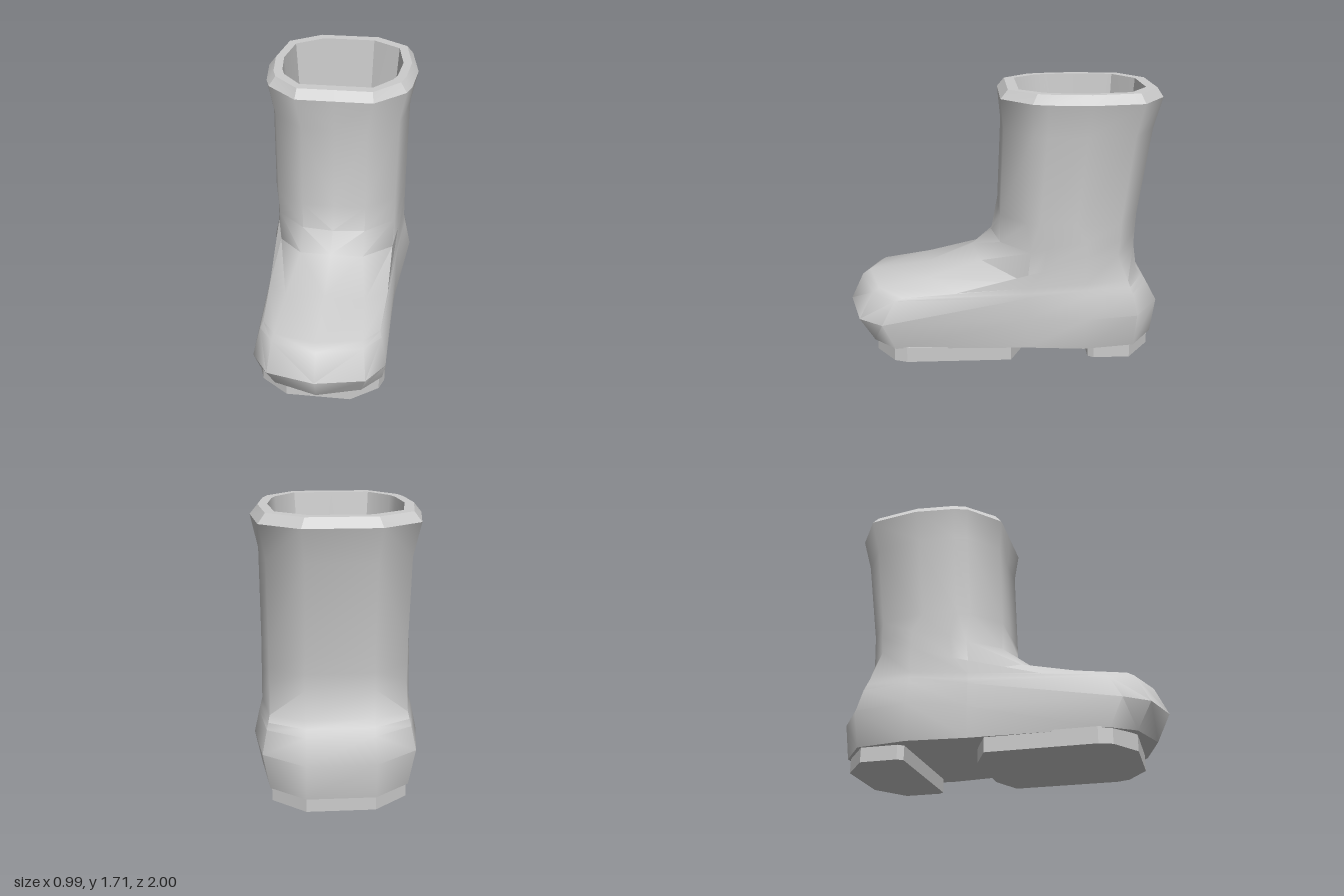
import * as THREE from 'three';
import { toCreasedNormals } from 'three/addons/utils/BufferGeometryUtils.js';

const material = new THREE.MeshStandardMaterial({ color: 0xcccccc });

// Level half ring of the shaft, front centre to back; each point is a share of half width
// and a share of depth from the back, frontShare being the half width of the flat front
function shaftRing(y, front, back, width, frontShare) {
  const section = [[0, 1], [frontShare, 1], [0.88, 0.82], [0.94, 0.73], [1, 0.475], [0.9, 0.155], [0.44, 0]];
  return section.map(([u, t]) => [u * width, y, back + t * (front - back)]);
}

// Half ring of the foot: toe, toe corner and foot side are placed, the waist and heel follow from the ankle size
function footRing([y, width, back, heelCorner], [toeY, toeZ], corner, side) {
  const waist = [0.37 + 0.1 * width, (side[1] + y) / 2, Math.min(-0.14, side[2] - 0.1)];
  return [
    [0, toeY, toeZ], corner, side, waist,
    [width, y, -0.5], [0.9 * width, y, heelCorner], [0.2, y, back],
  ];
}

// Mirror a half ring into a closed ring
function fullRing(half) {
  const mirrored = half.slice(1).reverse().map(([x, y, z]) => [-x, y, z]);
  return [...half, ...mirrored];
}

// Skin a stack of half rings, with optional closing fans at either end
function loft(name, halves, { capStart, capEnd, crease }) {
  const rings = halves.map(fullRing);
  const n = rings[0].length;
  const pos = [];
  const tri = (a, b, c) => pos.push(...a, ...b, ...c);
  for (let r = 0; r < rings.length - 1; r++) {
    for (let i = 0; i < n; i++) {
      const j = (i + 1) % n;
      const a = rings[r][i], b = rings[r][j], c = rings[r + 1][j], d = rings[r + 1][i];
      // keep the diagonals symmetric left to right
      if (i < n / 2) { tri(a, b, c); tri(a, c, d); }
      else { tri(a, b, d); tri(b, c, d); }
    }
  }
  for (let i = 0; i < n; i++) {
    const j = (i + 1) % n;
    if (capStart) tri(capStart, rings[0][j], rings[0][i]);
    if (capEnd) tri(capEnd, rings.at(-1)[i], rings.at(-1)[j]);
  }
  const geo = new THREE.BufferGeometry();
  geo.setAttribute('position', new THREE.Float32BufferAttribute(pos, 3));
  const mesh = new THREE.Mesh(toCreasedNormals(geo, crease), material);
  mesh.name = name;
  return mesh;
}

// Flat tread block from a half outline of [x, z] pairs
function tread(name, half, height) {
  const outline = [...half, ...half.slice().reverse().map(([x, z]) => [-x, z])];
  const shape = new THREE.Shape(outline.map(([x, z]) => new THREE.Vector2(x, -z)));
  const geo = new THREE.ExtrudeGeometry(shape, { depth: height, bevelEnabled: false });
  geo.rotateX(-Math.PI / 2);
  const mesh = new THREE.Mesh(geo, material);
  mesh.name = name;
  return mesh;
}

export function createModel() {
  const boot = new THREE.Group();
  boot.name = 'boot';

  // Outlines shared by the upper, the rim and the lining
  const rimOuter = shaftRing(1.65, 0.02, -0.97, 0.49, 0.49);
  const rimTop = shaftRing(1.705, -0.025, -0.935, 0.445, 0.52);
  const rimInner = shaftRing(1.705, -0.09, -0.87, 0.39, 0.58);
  const liningFloor = shaftRing(0.55, -0.24, -0.785, 0.31, 0.53);

  // Upper: foot rings climb the instep and become the shaft
  boot.add(loft('upper', [
    footRing([0.09, 0.45, -0.97, -0.82], [0.11, 0.92], [0.27, 0.1, 0.83], [0.39, 0.09, 0.69]),
    footRing([0.31, 0.495, -1, -0.83], [0.28, 1], [0.3, 0.26, 0.92], [0.41, 0.26, 0.77]),
    footRing([0.45, 0.465, -0.925, -0.8], [0.45, 0.92], [0.28, 0.435, 0.83], [0.375, 0.41, 0.69]),
    footRing([0.49, 0.455, -0.893, -0.785], [0.485, 0.87], [0.27, 0.46, 0.79], [0.365, 0.425, 0.64]),
    footRing([0.53, 0.445, -0.86, -0.77], [0.53, 0.5], [0.25, 0.515, 0.48], [0.385, 0.46, 0.3]),
    footRing([0.7, 0.443, -0.835, -0.7], [0.65, 0.2], [0.205, 0.61, 0.14], [0.385, 0.515, -0.14]),
    footRing([0.8, 0.443, -0.838, -0.71], [0.75, 0.07], [0.205, 0.73, 0.02], [0.39, 0.72, -0.16]),
    shaftRing(0.91, 0.02, -0.845, 0.443, 0.46),
    shaftRing(1.45, 0, -0.92, 0.447, 0.46),
    rimOuter,
  ], { capStart: [0, 0.09, -0.1], crease: 0.9 }));

  // Bevelled rim and flat lip
  boot.add(loft('rim', [rimOuter, rimTop, rimInner], { crease: 0.3 }));

  // Hollow inside
  boot.add(loft('lining', [rimInner, liningFloor], { capEnd: [0, 0.55, -0.5], crease: 0.45 }));

  // Tread blocks
  boot.add(tread('frontSole', [[0.2, 0.82], [0.37, 0.7], [0.4, 0.62], [0.4, -0.04], [0.21, -0.13]], 0.1));
  boot.add(tread('heel', [[0.37, -0.535], [0.395, -0.57], [0.395, -0.8], [0.2, -0.95]], 0.1));

  return boot;
}
